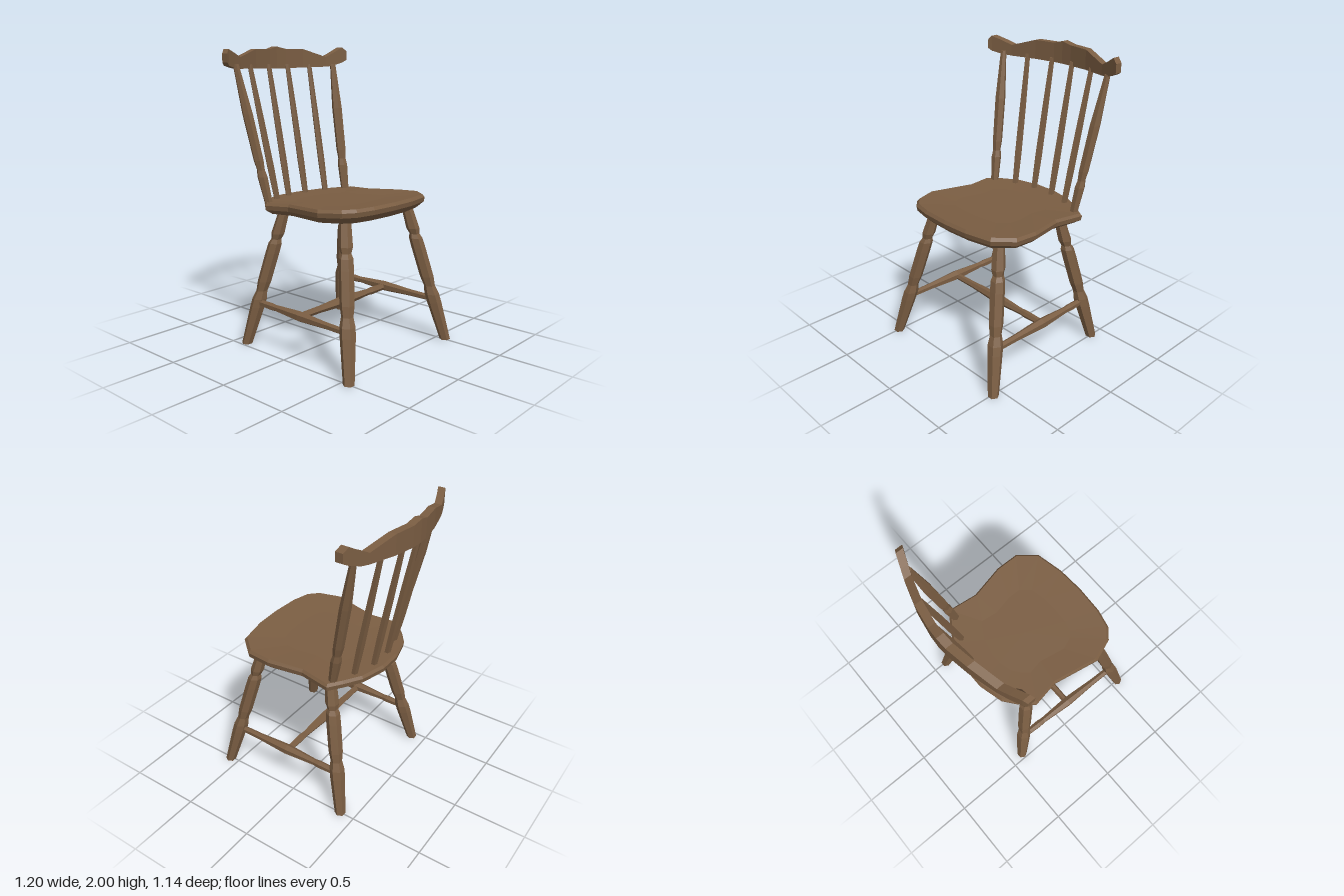
import * as THREE from 'three';

const wood = new THREE.MeshStandardMaterial({ color: 0x7a5d42, flatShading: true });
wood.name = 'brown wood';

// Skin a stack of equal-length rings of [x, y, z], closing both ends with fans
function loft(rings) {
  const n = rings[0].length;
  const mid = r => [0, 1, 2].map(k => r.reduce((s, p) => s + p[k], 0) / n);
  const pos = [];
  for (let j = 0; j < n; j++) {
    const k = (j + 1) % n;
    const first = rings[0], last = rings[rings.length - 1];
    pos.push(...mid(first), ...first[k], ...first[j]);
    pos.push(...mid(last), ...last[j], ...last[k]);
    for (let i = 0; i < rings.length - 1; i++) {
      const a = rings[i][j], b = rings[i][k], c = rings[i + 1][k], d = rings[i + 1][j];
      pos.push(...a, ...b, ...c, ...a, ...c, ...d);
    }
  }
  const g = new THREE.BufferGeometry();
  g.setAttribute('position', new THREE.Float32BufferAttribute(pos, 3));
  g.computeVertexNormals();
  return g;
}

// Turned bar from a to b: profile of [fraction, radius]; end cuts stay square to the main axis
const axes = {
  x: [new THREE.Vector3(0, 0, 1), new THREE.Vector3(0, 1, 0)],
  y: [new THREE.Vector3(1, 0, 0), new THREE.Vector3(0, 0, 1)],
  z: [new THREE.Vector3(0, 1, 0), new THREE.Vector3(1, 0, 0)],
};
function turned(name, axis, a, b, profile, sides) {
  const pts = [[profile[0][0], 0], ...profile, [profile[profile.length - 1][0], 0]]
    .map(([t, r]) => new THREE.Vector2(r, t));
  const g = new THREE.LatheGeometry(pts, sides);
  const start = new THREE.Vector3(...a);
  const dir = new THREE.Vector3(...b).sub(start);
  const [u, w] = axes[axis];
  g.applyMatrix4(new THREE.Matrix4().makeBasis(u, dir, w).setPosition(start));
  const m = new THREE.Mesh(g, wood);
  m.name = name;
  return m;
}

function makeSeat() {
  // Outline [x, z], anticlockwise from above
  const outline = [
    [0.51, 0], [0.5, -0.19], [0.46, -0.38], [0.34, -0.485], [0.18, -0.49], [-0.06, -0.44],
    [-0.27, -0.47], [-0.33, -0.38], [-0.4, -0.26], [-0.445, -0.08], [-0.445, 0.08], [-0.4, 0.25],
    [-0.33, 0.34], [-0.24, 0.42], [-0.06, 0.39], [0.26, 0.455], [0.41, 0.4], [0.47, 0.33], [0.5, 0.2],
  ];
  const ring = (scale, base, slope) =>
    outline.map(([x, z]) => [x * scale, base + slope * x * scale, z * scale]);
  const seat = new THREE.Mesh(loft([
    ring(0.6, 0.918, 0.03), ring(0.9, 0.922, 0.03), ring(0.99, 0.955, 0.05),
    ring(1, 0.985, 0.05), ring(0.97, 1.003, 0.055), ring(0.55, 0.992, 0.05),
  ]), wood);
  seat.name = 'seat';
  return seat;
}

function makeCrestRail() {
  // Stations [z, x, bottom, top] along the bowed rail
  const stations = [
    [-0.57, -0.425, 1.91, 1.97], [-0.535, -0.44, 1.89, 2], [-0.46, -0.47, 1.865, 1.955],
    [-0.41, -0.49, 1.86, 1.93], [-0.23, -0.545, 1.855, 1.985], [-0.08, -0.57, 1.85, 1.985],
    [0, -0.575, 1.85, 2], [0.07, -0.57, 1.85, 1.98], [0.22, -0.545, 1.85, 1.98],
    [0.4, -0.495, 1.85, 1.925], [0.47, -0.47, 1.855, 1.95], [0.545, -0.44, 1.87, 1.975],
    [0.57, -0.425, 1.89, 1.945],
  ];
  const h = 0.025;
  const rail = new THREE.Mesh(loft(stations.map(([z, x, lo, hi]) =>
    [[x + h, lo, z], [x + h, hi, z], [x - h, hi, z], [x - h, lo, z]])), wood);
  rail.name = 'crestRail';
  return rail;
}

export function createModel() {
  const chair = new THREE.Group();
  chair.name = 'chair';
  chair.add(makeSeat(), makeCrestRail());

  // Splayed legs with a turned neck near the top
  const legProfile = [
    [0, 0.036], [0.28, 0.05], [0.34, 0.05], [0.4, 0.038], [0.47, 0.047], [0.68, 0.048],
    [0.75, 0.046], [0.78, 0.034], [0.82, 0.045], [0.88, 0.042], [1, 0.036],
  ];
  [
    ['frontLegRight', [0.565, 0, -0.51], [0.34, 0.96, -0.33]],
    ['frontLegLeft', [0.555, 0, 0.5], [0.34, 0.96, 0.29]],
    ['backLegRight', [-0.395, 0, -0.5], [-0.2, 0.94, -0.33]],
    ['backLegLeft', [-0.4, 0, 0.46], [-0.2, 0.94, 0.28]],
  ].forEach(([name, a, b]) => chair.add(turned(name, 'y', a, b, legProfile, 6)));

  // H-shaped stretchers, thicker at the middle
  const barProfile = [[0, 0.022], [0.17, 0.026], [0.22, 0.022], [0.5, 0.036], [0.78, 0.024], [1, 0.022]];
  chair.add(
    turned('sideStretcherRight', 'x', [-0.34, 0.295, -0.455], [0.49, 0.29, -0.455], barProfile, 6),
    turned('sideStretcherLeft', 'x', [-0.34, 0.295, 0.41], [0.49, 0.29, 0.435], barProfile, 6),
    turned('crossStretcher', 'z', [0.07, 0.29, -0.45], [0.07, 0.29, 0.42], barProfile, 6),
  );

  // Back spindles, with heavier posts at each side: [bottom x, bottom z, top x, top z]
  const thin = [[0, 0.021], [0.25, 0.025], [0.6, 0.023], [1, 0.017]];
  const thick = [[0, 0.027], [0.2, 0.035], [0.25, 0.027], [0.32, 0.034], [0.65, 0.036], [1, 0.02]];
  [
    [-0.265, -0.4, -0.45, -0.47], [-0.33, -0.255, -0.515, -0.285], [-0.375, -0.095, -0.545, -0.095],
    [-0.375, 0.07, -0.545, 0.085], [-0.335, 0.22, -0.515, 0.285], [-0.265, 0.36, -0.45, 0.46],
  ].forEach(([x0, z0, x1, z1], i) => {
    const outer = i === 0 || i === 5;
    chair.add(turned(outer ? 'backPost' : 'backSpindle', 'y',
      [x0, 0.97, z0], [x1, 1.88, z1], outer ? thick : thin, outer ? 6 : 5));
  });
  return chair;
}
